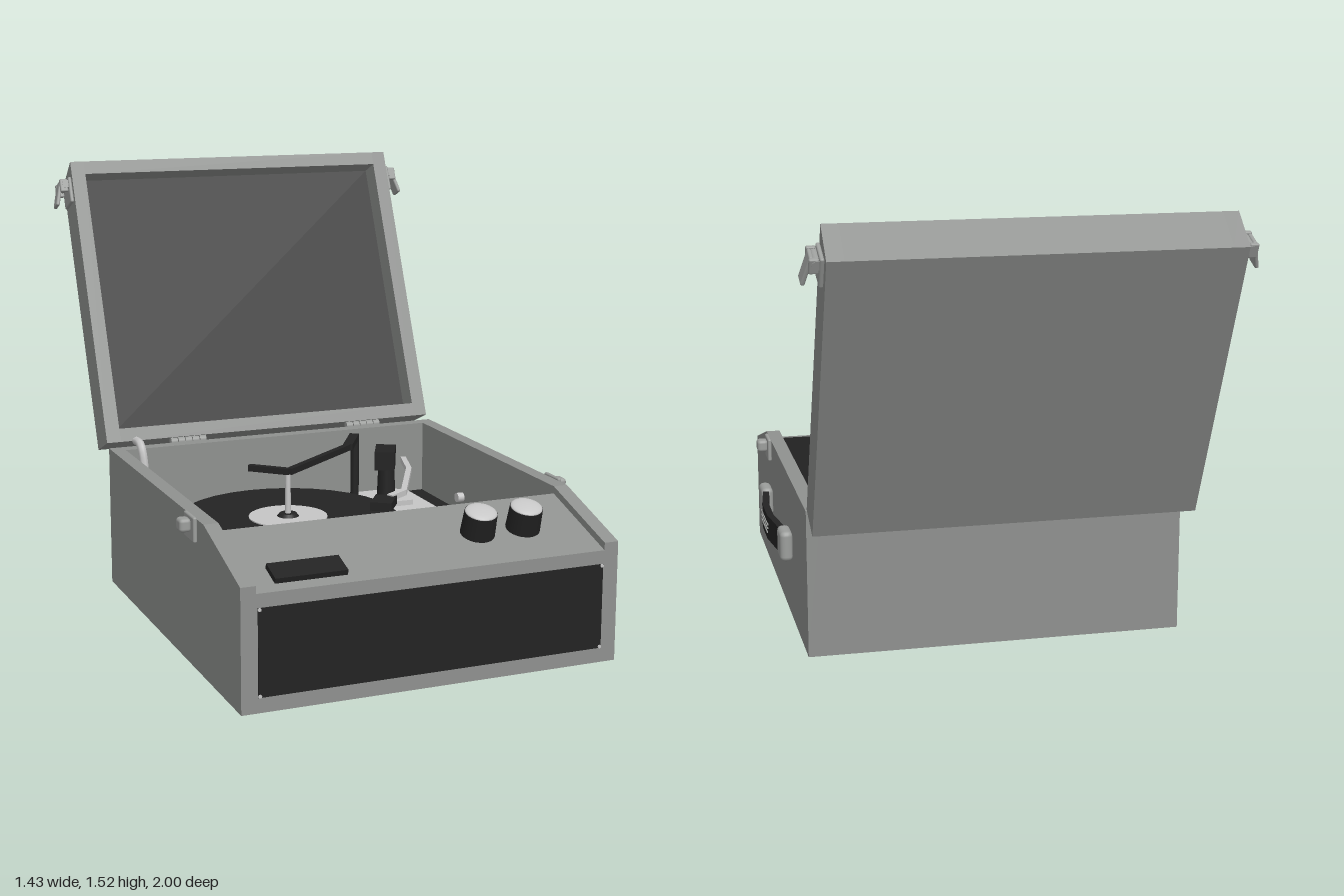
import * as THREE from 'three';
import { RoundedBoxGeometry } from 'three/addons/geometries/RoundedBoxGeometry.js';

const mat = (name, color) => Object.assign(new THREE.MeshStandardMaterial({ color }), { name });

export function createModel() {
  const M = {
    grey: mat('case grey', 0x8f918f),
    black: mat('black', 0x232323),
    metal: mat('hardware grey', 0x9c9e9c),
    silver: mat('silver', 0xc6c6c6),
  };
  const model = new THREE.Group();
  model.name = 'portableRecordPlayer';

  // ---- helpers ----
  const group = (name, parent = model) => {
    const g = new THREE.Group();
    g.name = name;
    parent.add(g);
    return g;
  };
  const add = (parent, name, geo, m, x = 0, y = 0, z = 0) => {
    const mesh = new THREE.Mesh(geo, m);
    mesh.name = name;
    mesh.position.set(x, y, z);
    parent.add(mesh);
    return mesh;
  };
  // box given by its limits
  const box = (parent, name, m, x0, x1, y0, y1, z0, z1) =>
    add(parent, name, new THREE.BoxGeometry(x1 - x0, y1 - y0, z1 - z0), m,
      (x0 + x1) / 2, (y0 + y1) / 2, (z0 + z1) / 2);
  const round = (w, h, d, r) => new RoundedBoxGeometry(w, h, d, 2, r);
  const cyl = (r0, r1, h, n = 24) => new THREE.CylinderGeometry(r0, r1, h, n);
  const outline = pts => new THREE.Shape(pts.map(p => new THREE.Vector2(p[0], p[1])));
  // [z, y] profile extruded across x, centred
  const acrossX = (pts, w) => new THREE.ExtrudeGeometry(outline(pts), { depth: w, bevelEnabled: false })
    .rotateY(-Math.PI / 2).translate(w / 2, 0, 0);
  // [x, z] outline extruded upward
  const upright = (pts, h, bevel = 0) => new THREE.ExtrudeGeometry(outline(pts.map(p => [p[0], -p[1]])),
    { depth: h, bevelEnabled: bevel > 0, bevelSize: bevel, bevelThickness: bevel, bevelSegments: 1 })
    .rotateX(-Math.PI / 2);
  // straight bar between two points
  const beam = (parent, name, m, a, b, w, h) => {
    const A = new THREE.Vector3(...a), B = new THREE.Vector3(...b);
    const mesh = add(parent, name, new THREE.BoxGeometry(w, h, A.distanceTo(B)), m);
    mesh.position.copy(A).lerp(B, 0.5);
    mesh.lookAt(B);
    return mesh;
  };

  // ---- case ----
  const body = group('case');
  const side = [[1, 0], [1, 0.405], [0.66, 0.51], [-0.43, 0.51], [-0.43, 0]];
  for (const s of [-1, 1]) add(body, 'sideWall', acrossX(side, 0.05), M.grey, s * 0.625);
  box(body, 'backWall', M.grey, -0.6, 0.6, 0, 0.51, -0.43, -0.38);
  box(body, 'base', M.grey, -0.6, 0.6, 0, 0.235, -0.38, 0.66);
  add(body, 'frontConsole', acrossX([[1, 0], [1, 0.38], [0.66, 0.485], [0.66, 0]], 1.2), M.grey);
  box(body, 'consoleBack', M.black, -0.6, 0.6, 0.235, 0.48, 0.652, 0.66);
  box(body, 'deckFloor', M.black, -0.6, 0.6, 0.235, 0.242, -0.38, 0.655);
  box(body, 'speakerGrille', M.black, -0.595, 0.595, 0.05, 0.335, 0.998, 1.003);
  for (const x of [-0.59, 0.59]) for (const y of [0.055, 0.33])
    add(body, 'grilleScrew', cyl(0.006, 0.006, 0.004, 8).rotateX(Math.PI / 2), M.silver, x, y, 1.004);

  // ---- sloping controls ----
  const controls = group('controls');
  controls.position.set(0, 0.38, 1);
  controls.rotation.x = 0.3;
  box(controls, 'namePlate', M.black, -0.525, -0.285, 0, 0.018, -0.125, -0.04);
  for (const x of [0.225, 0.39]) {
    add(controls, 'knob', cyl(0.054, 0.057, 0.08), M.black, x, 0.04, -0.177);
    const cap = add(controls, 'knobCap',
      new THREE.SphereGeometry(0.053, 24, 6, 0, Math.PI * 2, 0, Math.PI / 2), M.silver, x, 0.08, -0.177);
    cap.scale.y = 0.25;
  }

  // ---- deck ----
  const deck = group('deck');
  const c = 0.04, [l, r, b, f] = [-0.56, 0.5, -0.34, 0.54];
  add(deck, 'deckPlate', upright([[l + c, b], [l, b + c], [l, f - c], [l + c, f],
    [r - c, f], [r, f - c], [r, b + c], [r - c, b]], 0.012, 0.01), M.silver, 0, 0.247, 0);
  for (const [x, z] of [[-0.49, -0.24], [0.27, 0.38]])
    add(deck, 'deckScrew', cyl(0.022, 0.03, 0.014, 6), M.metal, x, 0.276, z);
  add(deck, 'switchPanel', upright([[0.41, 0.01], [0.41, 0.43], [0.235, 0.43], [0.235, 0.53],
    [0.5, 0.53], [0.5, 0.01]], 0.012), M.black, 0, 0.268, 0);
  for (const [x, z, w, d] of [[0.285, 0.49, 0.05, 0.035], [0.36, 0.49, 0.05, 0.035],
    [0.462, 0.3, 0.022, 0.055], [0.462, 0.375, 0.022, 0.06]])
    add(deck, 'switch', new THREE.BoxGeometry(w, 0.014, d), M.metal, x, 0.285, z);
  add(deck, 'speedSlider', new THREE.BoxGeometry(0.055, 0.03, 0.025), M.black, 0.44, 0.295, 0.13);

  // ---- platter and record ----
  const turntable = group('turntable');
  turntable.position.set(-0.14, 0, 0.075);
  add(turntable, 'platter', cyl(0.375, 0.375, 0.045, 32), M.black, 0, 0.29, 0);
  add(turntable, 'record', cyl(0.395, 0.395, 0.016, 32), M.black, 0, 0.32, 0);
  add(turntable, 'label', cyl(0.14, 0.14, 0.004, 32), M.silver, 0, 0.33, 0);
  add(turntable, 'hub', cyl(0.03, 0.04, 0.012, 20), M.black, 0, 0.337, 0);
  add(turntable, 'spindle', cyl(0.009, 0.011, 0.16, 12), M.silver, 0, 0.415, 0);

  // ---- record holder arm ----
  const holder = group('holderArm');
  const path = [[-0.28, 0.518, 0.06], [-0.17, 0.518, 0.165], [0.16, 0.518, -0.09], [0.25, 0.518, -0.24]];
  for (let i = 0; i < 3; i++)
    beam(holder, 'holderBar', M.black, path[i], path[i + 1], i === 2 ? 0.035 : 0.022, 0.022);
  add(holder, 'holderPost', cyl(0.016, 0.016, 0.25, 16), M.black, 0.245, 0.39, -0.225);

  // ---- tonearm ----
  const arm = group('tonearm');
  add(arm, 'armBase', upright([[0.28, -0.28], [0.24, -0.2], [0.27, -0.1], [0.43, -0.1],
    [0.43, -0.24], [0.4, -0.28]], 0.02), M.silver, 0, 0.268, 0);
  add(arm, 'armPillar', cyl(0.03, 0.035, 0.13, 16), M.black, 0.36, 0.35, -0.19);
  add(arm, 'counterweight', new THREE.BoxGeometry(0.075, 0.07, 0.13), M.black, 0.36, 0.435, -0.2)
    .rotation.y = -0.46;
  beam(arm, 'armTube', M.silver, [0.42, 0.43, -0.17], [0.37, 0.43, -0.01], 0.02, 0.02);
  beam(arm, 'armTube', M.silver, [0.37, 0.43, -0.01], [0.235, 0.42, 0.24], 0.02, 0.02);
  beam(arm, 'armTip', M.silver, [0.24, 0.42, 0.23], [0.17, 0.415, 0.265], 0.025, 0.02);
  add(arm, 'headshell', new THREE.BoxGeometry(0.075, 0.03, 0.11), M.black, 0.135, 0.405, 0.29)
    .rotation.y = -0.6;

  // ---- lid, leaning back ----
  const lid = group('lid');
  lid.position.set(0, 0.524, -0.455);
  lid.rotation.x = -0.408;
  for (const s of [-1, 1])
    add(lid, 'lidSide', acrossX([[0, 0], [0, 1.09], [-0.136, 1.043], [-0.136, 0]], 0.053), M.grey, s * 0.6235);
  box(lid, 'lidBottom', M.grey, -0.597, 0.597, 0, 0.05, -0.136, 0);
  add(lid, 'lidTop', acrossX([[0, 1.04], [0, 1.09], [-0.136, 1.043], [-0.136, 1.04]], 1.194), M.grey);
  box(lid, 'lidPanel', M.grey, -0.597, 0.597, 0.05, 1.04, -0.136, -0.09);
  box(lid, 'lidLining', M.black, -0.597, 0.597, 0.05, 1.04, -0.09, -0.084);

  // ---- latches on lid and case ----
  for (const s of [-1, 1]) {
    const clip = group('lidLatch', lid);
    clip.position.set(s * 0.65, 0.985, -0.06);
    add(clip, 'latchPlate', round(0.014, 0.1, 0.1, 0.006), M.metal, s * 0.007);
    add(clip, 'latchPivot', cyl(0.016, 0.016, 0.09, 12).rotateX(Math.PI / 2), M.metal, s * 0.022, 0.025, 0);
    for (const z of [-0.035, 0.035])
      add(clip, 'latchLink', round(0.03, 0.05, 0.016, 0.005), M.metal, s * 0.03, 0.02, z);
    add(clip, 'latchHook', round(0.014, 0.1, 0.055, 0.006), M.metal, s * 0.047, -0.005, 0).rotation.z = s * 0.25;
    const latch = group('caseCatch');
    latch.position.set(s * 0.65, 0.48, 0.55);
    add(latch, 'catchPlate', round(0.014, 0.085, 0.1, 0.006), M.metal, s * 0.007, -0.005, 0);
    add(latch, 'catchStud', round(0.04, 0.045, 0.05, 0.012), M.metal, s * 0.03, 0.005, 0);
  }

  // ---- hinges and lid stay ----
  for (const x of [-0.34, 0.37]) {
    const hinge = group('hinge');
    hinge.position.set(x, 0.51, -0.445);
    for (const k of [-2, -1, 0, 1, 2])
      add(hinge, 'knuckle', cyl(0.015, 0.015, 0.025, 12).rotateZ(Math.PI / 2), M.metal, k * 0.028);
    add(hinge, 'hingePlate', round(0.13, 0.07, 0.014, 0.006), M.metal, 0, -0.035, 0.008);
  }
  const stay = new THREE.CatmullRomCurve3([[-0.54, 0.525, -0.45], [-0.54, 0.52, -0.39],
    [-0.535, 0.44, -0.365], [-0.54, 0.3, -0.36]].map(p => new THREE.Vector3(...p)));
  add(model, 'lidStay', new THREE.TubeGeometry(stay, 16, 0.016, 8), M.silver);

  // ---- carrying handle on the left side ----
  const handle = group('handle');
  for (const z of [0.535, -0.025]) {
    add(handle, 'handleMount', round(0.045, 0.11, 0.105, 0.018), M.metal, 0.672, 0.275, z);
    add(handle, 'mountBolt', cyl(0.018, 0.018, 0.03, 12).rotateZ(Math.PI / 2), M.silver, 0.59, 0.3, z);
  }
  const bow = [[0.672, -0.04], [0.685, 0.07], [0.7, 0.18], [0.7, 0.33], [0.685, 0.44], [0.672, 0.55]];
  const strap = [...bow.map(([x, z]) => [x + 0.01, z]), ...bow.slice().reverse().map(([x, z]) => [x - 0.014, z])];
  add(handle, 'strap', upright(strap, 0.09), M.black, 0, 0.23, 0);
  [0.258, 0.274, 0.29].forEach((y, i) =>
    box(handle, 'strapStitch', M.metal, 0.708, 0.713, y - 0.003, y + 0.003, 0.17 - i * 0.005, 0.34 + i * 0.005));

  return model;
}
